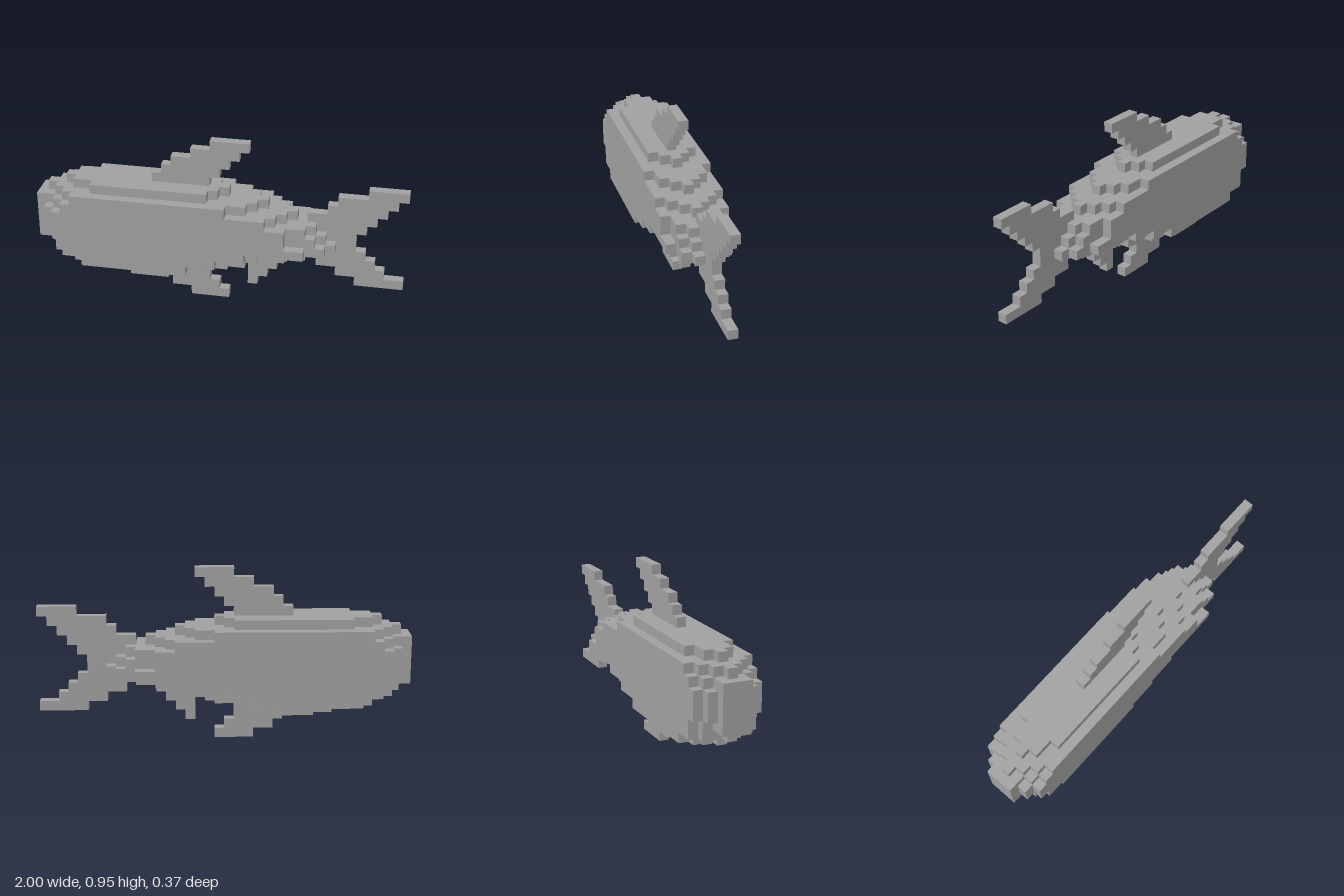
import * as THREE from 'three';

// Everything sits on a grid of cubes: 38 long, 18 high, 7 deep.
const U = 2 / 38;

// Stepped slab from rows of [start, end] columns, stacked upwards from firstRow.
function steppedSlab(name, material, firstRow, rows, cubesDeep) {
  const right = [], left = [];
  rows.forEach(([start, end], i) => {
    const y0 = (firstRow + i) * U, y1 = y0 + U;
    right.push([end, y0], [end, y1]);
    left.push([start, y0], [start, y1]);
  });
  const points = [...right, ...left.reverse()]
    .map(([column, y]) => new THREE.Vector2(column * U - 1, y))
    .filter((p, i, all) => i === 0 || p.distanceTo(all[i - 1]) > 1e-6);
  const depth = cubesDeep * U;
  const geometry = new THREE.ExtrudeGeometry(new THREE.Shape(points), { depth, bevelEnabled: false });
  geometry.translate(0, 0, -depth / 2);
  const mesh = new THREE.Mesh(geometry, material);
  mesh.name = name;
  return mesh;
}

export function createModel() {
  const grey = new THREE.MeshStandardMaterial({ color: 0xa0a0a0 });
  grey.name = 'grey';
  const fish = new THREE.Group();
  fish.name = 'blockFish';

  // Body: nested slabs, the core longest and the flanks shortest
  const body = new THREE.Group();
  body.name = 'body';
  body.add(
    steppedSlab('bodyCore', grey, 3, [
      [6, 16], [3, 21], [1, 25], [0, 29], [0, 31], [0, 31], [0, 29], [0, 27], [1, 24], [3, 20],
    ], 1),
    steppedSlab('innerBody', grey, 3, [
      [8, 15], [4, 20], [2, 23], [0, 28], [0, 31], [0, 30], [0, 29], [0, 26], [2, 23], [4, 19],
    ], 3),
    steppedSlab('outerBody', grey, 3, [
      [10, 14], [4, 18], [2, 22], [2, 26], [1, 30], [1, 29], [1, 28], [2, 25], [3, 22], [6, 18],
    ], 5),
    steppedSlab('flanks', grey, 4, [
      [5, 16], [3, 19], [3, 22], [2, 28], [2, 26], [2, 26], [3, 24], [4, 20],
    ], 7),
  );
  fish.add(body);

  // Fins, one cube thick
  fish.add(
    steppedSlab('dorsalFin', grey, 13, [[12, 18], [13, 19], [14, 20], [16, 21], [18, 22]], 1),
    steppedSlab('bellyFin', grey, 0, [[16, 20], [14, 19], [13, 18], [13, 18]], 1),
    steppedSlab('analFin', grey, 2, [[22, 23], [22, 24], [22, 25], [22, 26]], 1),
    steppedSlab('tailFin', grey, 3, [
      [33, 38], [31, 36], [29, 35], [29, 34], [29, 33], [29, 33], [28, 34], [28, 35],
      [30, 36], [31, 37], [34, 38],
    ], 1),
  );
  return fish;
}
